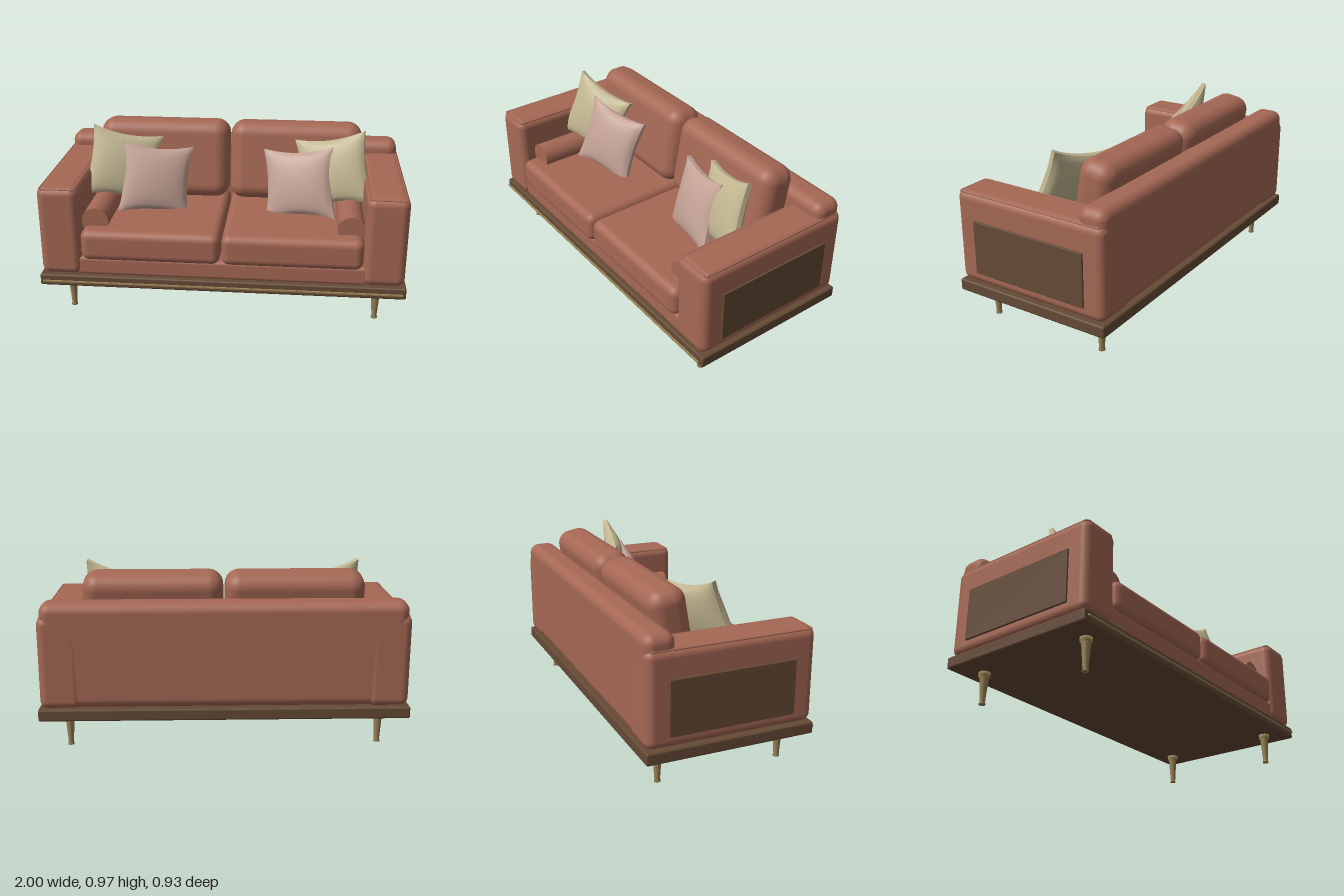
import * as THREE from 'three';
import { RoundedBoxGeometry } from 'three/addons/geometries/RoundedBoxGeometry.js';

const mat = (color) => new THREE.MeshStandardMaterial({ color });
const fabric = mat(0xa56854), wood = mat(0x654a35), brass = mat(0x9a8357);
const beige = mat(0xc2b691), blush = mat(0xc4a296);

export function createModel() {
  const model = new THREE.Group();

  const add = (name, geometry, material, x, y, z) => {
    const mesh = new THREE.Mesh(geometry, material);
    mesh.name = name;
    mesh.position.set(x, y, z);
    model.add(mesh);
    return mesh;
  };
  // Rounded box given by its extents on each axis
  const block = (name, material, [x0, x1], [y0, y1], [z0, z1], r, segments = 5) =>
    add(name, new RoundedBoxGeometry(x1 - x0, y1 - y0, z1 - z0, segments, r), material,
      (x0 + x1) / 2, (y0 + y1) / 2, (z0 + z1) / 2);
  const span = (s, a, b) => (s > 0 ? [a, b] : [-b, -a]);

  // Throw pillow: a slab with inward-curving edges and a puffed middle
  const pillowGeometry = (size) => {
    const g = new THREE.BoxGeometry(2, 2, 2, 20, 20, 2);
    const p = g.attributes.position;
    for (let i = 0; i < p.count; i++) {
      const x = p.getX(i), y = p.getY(i), z = p.getZ(i);
      const puff = Math.pow(Math.max(0, (1 - x * x) * (1 - y * y)), 0.6);
      p.setXYZ(i,
        x * (size / 2) * (1 - 0.1 * (1 - y * y) * x * x),
        y * (size / 2) * (1 - 0.14 * (1 - x * x) * y * y),
        z * (0.013 + 0.05 * puff));
    }
    g.computeVertexNormals();
    return g;
  };

  // Platform, metal trim and seat base
  block('platform', wood, [-1, 1], [0.175, 0.24], [-0.465, 0.455], 0.01, 2);
  add('platformTrim', new THREE.BoxGeometry(1.96, 0.008, 0.01), brass, 0, 0.206, 0.464);
  block('seatBase', fabric, [-0.79, 0.79], [0.24, 0.345], [-0.4, 0.435], 0.02, 3);

  // Backrest, leaning very slightly
  block('backrest', fabric, [-0.975, 0.975], [0.24, 0.817], [-0.458, -0.292], 0.055).rotation.x = -0.013;

  // Turned leg profile with foot and collar
  const legProfile = [[0, 0], [0.017, 0], [0.017, 0.008], [0.014, 0.01], [0.024, 0.15],
    [0.031, 0.153], [0.032, 0.176], [0, 0.176]].map(([r, y]) => new THREE.Vector2(r, y));
  const legGeometry = new THREE.LatheGeometry(legProfile, 20);

  for (const s of [1, -1]) {
    const side = s > 0 ? 'left' : 'right';

    // Arm with inset outer panel
    block(side + 'Arm', fabric, span(s, 0.765, 0.99), [0.24, 0.745], [-0.46, 0.45], 0.045);
    block(side + 'ArmPanel', wood, span(s, 0.97, 1), [0.305, 0.598], [-0.345, 0.335], 0.004, 2);

    // Piping along the arm's top edges
    for (const x of [0.783, 0.972])
      add(side + 'ArmPiping', new THREE.CapsuleGeometry(0.006, 0.85, 4, 8), fabric, s * x, 0.735, 0)
        .rotation.x = Math.PI / 2;
    add(side + 'ArmFrontPiping', new THREE.CapsuleGeometry(0.006, 0.17, 4, 8), fabric, s * 0.8775, 0.735, 0.432)
      .rotation.z = Math.PI / 2;

    // Seat and back cushions
    block(side + 'SeatCushion', fabric, span(s, 0.004, 0.765), [0.33, 0.505], [-0.3, 0.458], 0.045);
    block(side + 'BackCushion', fabric, span(s, 0.004, 0.76), [0.495, 0.95], [-0.315, -0.105], 0.08, 7)
      .rotation.x = -0.17;

    // Bolster beside the arm
    add(side + 'Bolster', new THREE.CylinderGeometry(0.074, 0.074, 0.48, 28), fabric, s * 0.695, 0.532, 0.125)
      .rotation.x = Math.PI / 2;

    // Throw pillows leaning back and turned toward the middle
    const back = add(side + 'BeigePillow', pillowGeometry(0.4), beige, s * 0.6, 0.74, 0.015);
    back.rotation.set(-0.29, -0.28 * s, 0.23 * s, 'YXZ');
    const front = add(side + 'BlushPillow', pillowGeometry(0.4), blush, s * 0.41, 0.665, 0.035);
    front.rotation.set(-0.3, -0.25 * s, 0.13 * s, 'YXZ');

    // Legs
    for (const z of [0.338, -0.345]) add(side + 'Leg', legGeometry, brass, s * 0.848, 0, z);
  }
  return model;
}
